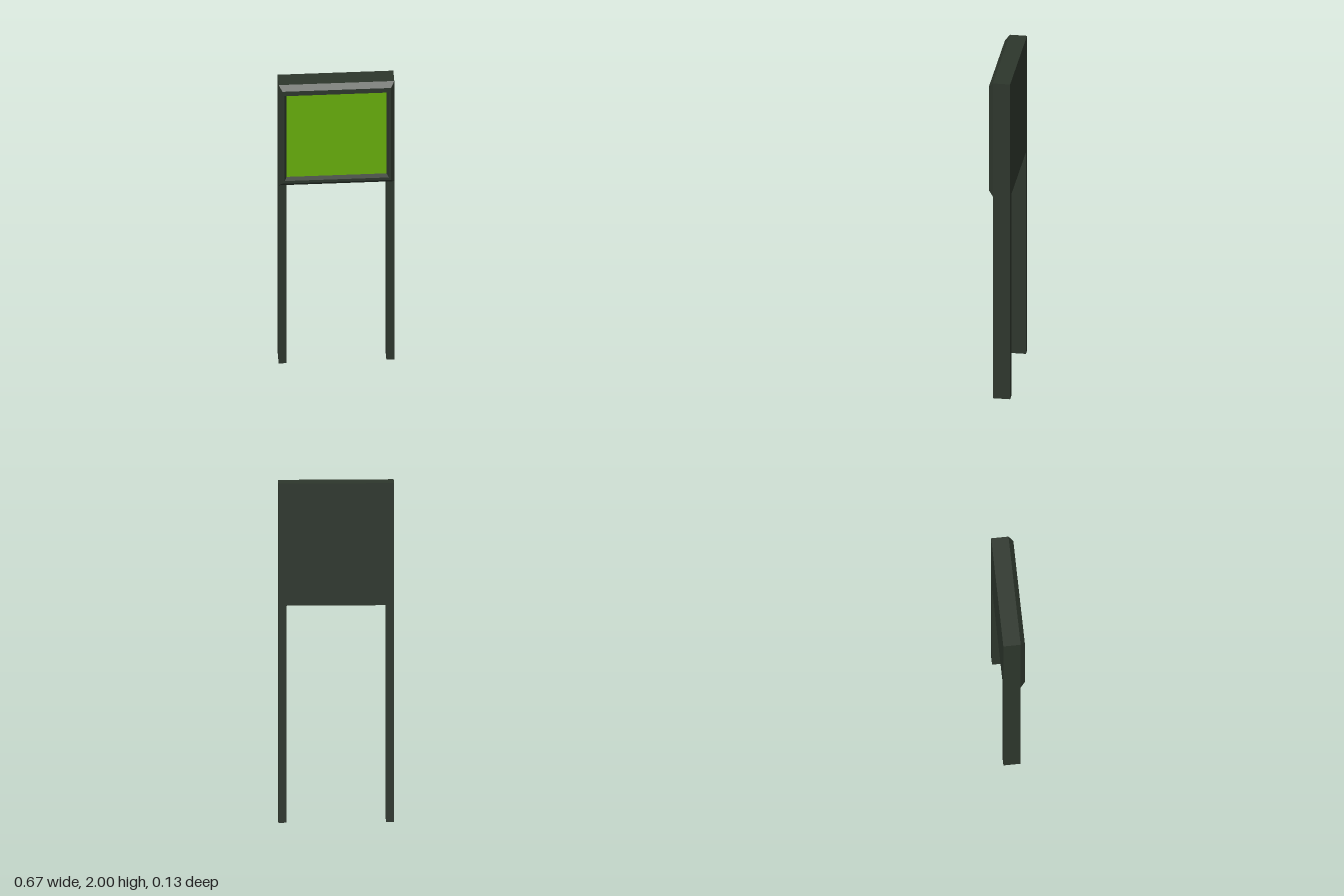
import * as THREE from 'three';

const BACK = -0.063, MID = 0.037, FRONT = 0.063;
const HALF = 0.333, TOP = 2, BASE = 1.28;

const dark = new THREE.MeshStandardMaterial({ color: 0x2d362c, flatShading: true });
const green = new THREE.MeshStandardMaterial({ color: 0x66ac0c });

// Box given by its minimum and maximum corners
function box(name, [x0, y0, z0], [x1, y1, z1], material) {
  const mesh = new THREE.Mesh(new THREE.BoxGeometry(x1 - x0, y1 - y0, z1 - z0), material);
  mesh.position.set((x0 + x1) / 2, (y0 + y1) / 2, (z0 + z1) / 2);
  mesh.name = name;
  return mesh;
}

// Rectangular frame skinned through rings of [half width, bottom, top, z], outer to inner
function frameGeometry(rings) {
  const corners = rings.map(([h, b, t, z]) => [[-h, b, z], [h, b, z], [h, t, z], [-h, t, z]]);
  const positions = [];
  for (let r = 0; r < rings.length - 1; r++) {
    for (let i = 0; i < 4; i++) {
      const j = (i + 1) % 4;
      const [a, b, c, d] = [corners[r][i], corners[r][j], corners[r + 1][j], corners[r + 1][i]];
      positions.push(...a, ...b, ...c, ...a, ...c, ...d);
    }
  }
  const geometry = new THREE.BufferGeometry();
  geometry.setAttribute('position', new THREE.Float32BufferAttribute(positions, 3));
  geometry.computeVertexNormals();
  return geometry;
}

export function createModel() {
  const model = new THREE.Group();
  model.name = 'signStand';

  // Sign case and its two posts
  model.add(box('signCase', [-HALF, BASE, BACK], [HALF, TOP, MID], dark));
  model.add(box('leftPost', [0.287, 0, BACK], [HALF, BASE, MID], dark));
  model.add(box('rightPost', [-HALF, 0, BACK], [-0.287, BASE, MID], dark));

  // Bevelled frame: outer slope, flat rim, inner slope
  const frame = new THREE.Mesh(frameGeometry([
    [HALF, BASE, TOP, MID],
    [0.313, 1.31, 1.97, FRONT],
    [0.3, 1.328, 1.938, FRONT],
    [0.287, 1.34, 1.926, MID],
  ]), dark);
  frame.name = 'frame';
  model.add(frame);

  // Recessed coloured panel
  const panel = new THREE.Mesh(new THREE.PlaneGeometry(0.574, 0.586), green);
  panel.position.set(0, 1.633, MID + 0.002);
  panel.name = 'panel';
  model.add(panel);

  return model;
}
